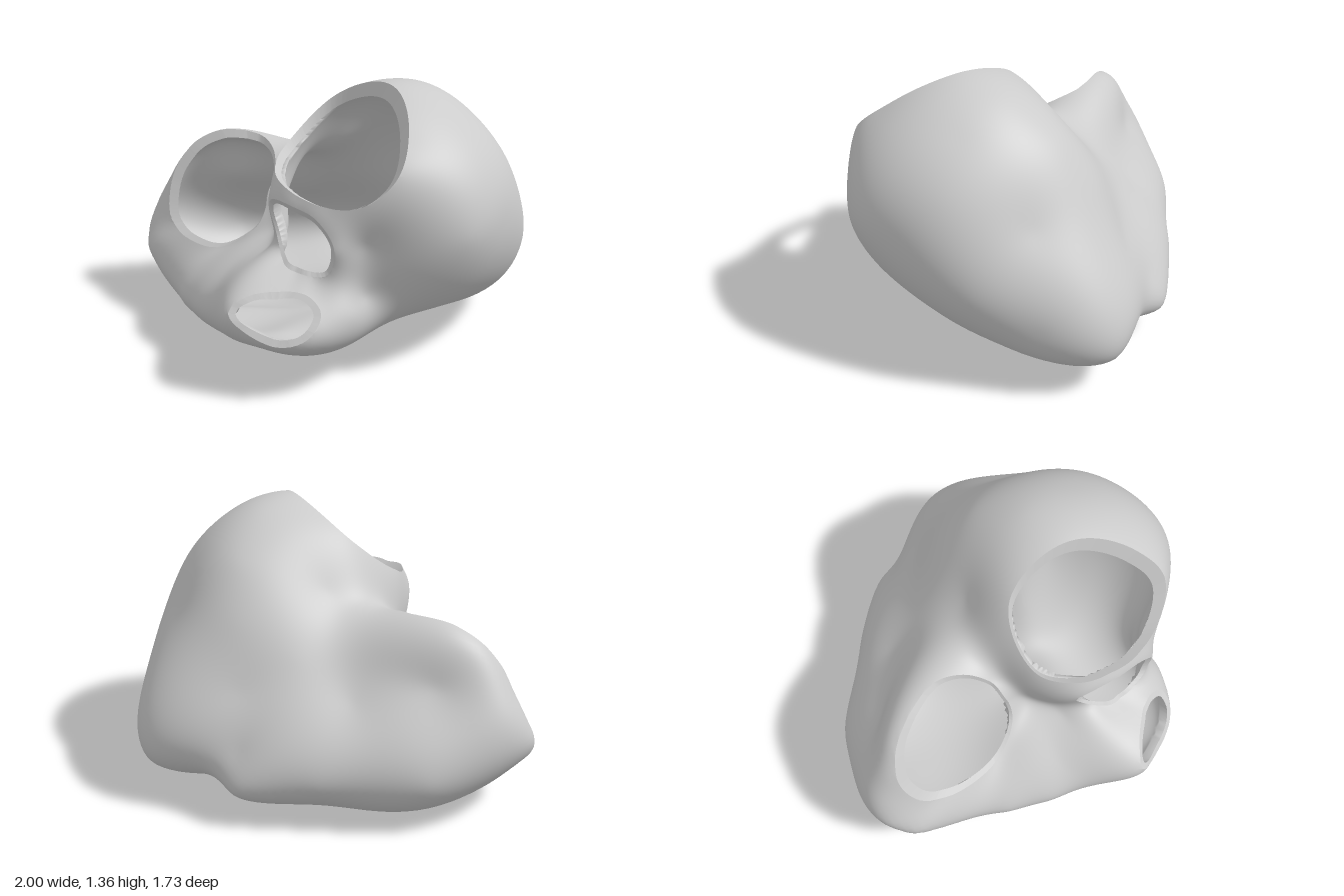
import * as THREE from 'three';
import { mergeVertices } from 'three/addons/utils/BufferGeometryUtils.js';

const V = (p) => new THREE.Vector3(...p);
const CENTRE = V([0.05, 0.47, 0.05]);
const WALL = 0.055;

// Openings: rim curves, and how far the cut face of the wall reaches inward and down
const HOLES = [
  { name: 'leftSocketRim', width: 0.04, depth: 0.05, rim: [[0.04, 1.22, -0.02], [0.24, 1.33, 0.05], [0.4, 1.345, 0.2], [0.49, 1.21, 0.45],
    [0.46, 1.04, 0.63], [0.3, 0.91, 0.65], [0.1, 0.89, 0.6], [-0.12, 0.93, 0.42], [-0.18, 0.97, 0.22], [-0.1, 1.08, 0.06]] },
  { name: 'rightSocketRim', width: 0.035, depth: 0.025, rim: [[-0.58, 0.935, -0.3], [-0.38, 0.935, -0.25], [-0.27, 0.89, -0.12], [-0.24, 0.77, 0.03],
    [-0.32, 0.57, 0.13], [-0.48, 0.45, 0.12], [-0.66, 0.43, 0.04], [-0.82, 0.49, -0.12], [-0.86, 0.64, -0.23], [-0.77, 0.83, -0.3]] },
  { name: 'noseRim', width: 0.025, depth: 0.015, rim: [[-0.17, 0.83, 0.42], [-0.02, 0.86, 0.56], [0.1, 0.83, 0.63], [0.19, 0.72, 0.68],
    [0.16, 0.58, 0.66], [0.03, 0.55, 0.61], [-0.08, 0.57, 0.52], [-0.14, 0.68, 0.42]] },
  { name: 'mouthRim', width: 0.035, depth: 0, rim: [[-0.28, 0.42, 0.82], [-0.2, 0.485, 0.77], [-0.06, 0.505, 0.73], [0.08, 0.495, 0.73],
    [0.15, 0.43, 0.77], [0.1, 0.33, 0.85], [-0.03, 0.29, 0.87], [-0.17, 0.33, 0.85]] },
];

// Anchor points the smooth body passes through
const CRANIUM = [[0.45, 1.31, -0.1], [0.45, 1.13, -0.37], [0.4, 0.9, -0.53], [0.35, 0.6, -0.66], [0.7, 1.22, 0.05], [0.9, 1, 0.05],
  [1, 0.55, -0.1], [0.8, 0.85, -0.33], [0.95, 0.4, -0.4], [0.93, 0.75, 0.3], [0.79, 0.75, 0.54], [0.6, 0.85, 0.62], [0.46, 0.58, 0.6],
  [0.32, 0.72, 0.62], [0.05, 1, -0.25], [0.1, 0.75, -0.53], [-0.2, 0.9, -0.12]];
const BACK = [[0.3, 0.17, -0.86], [0.3, 0.35, -0.79], [0.57, 0.22, -0.76], [0.78, 0.2, -0.73], [-0.1, 0.24, -0.81], [-0.6, 0.27, -0.69],
  [-0.57, 0.67, -0.47], [-0.2, 0.58, -0.58], [-0.9, 0.42, -0.47], [-0.995, 0.4, -0.26], [-0.945, 0.54, -0.32]];
const BASE = [[0.64, 0.085, -0.5], [0.72, 0.13, -0.28], [0.73, 0.21, -0.02], [0.72, 0.3, 0.2], [0.66, 0.41, 0.43], [0.87, 0.21, -0.3],
  [0.35, 0.2, 0.15], [0.45, 0.17, -0.1], [0.28, 0.12, -0.3], [0.42, 0.13, -0.6], [0.05, 0.075, -0.35], [0.1, 0.09, 0.05],
  [-0.4, 0, -0.36], [-0.1, 0.04, -0.02], [-0.1, 0.14, -0.75], [-0.35, 0.09, -0.65], [-0.65, 0.06, -0.3], [-0.9, 0.23, -0.25]];
const JAW = [[-0.08, 0.18, 0.6], [-0.2, 0.11, 0.4], [0.05, 0.14, 0.36], [-0.97, 0.33, -0.13], [-0.83, 0.26, 0.02], [-0.68, 0.24, 0.24],
  [-0.55, 0.26, 0.43], [-0.4, 0.3, 0.63], [-0.39, 0.44, 0.42], [-0.2, 0.56, 0.36], [0.32, 0.46, 0.61], [0.29, 0.4, 0.7], [0.17, 0.35, 0.81],
  [-0.38, 0.09, 0.18]];

// Gaussian elimination with pivoting
function solve(A, b) {
  const n = b.length;
  for (let i = 0; i < n; i++) {
    let p = i;
    for (let r = i + 1; r < n; r++) if (Math.abs(A[r][i]) > Math.abs(A[p][i])) p = r;
    [A[i], A[p]] = [A[p], A[i]];
    [b[i], b[p]] = [b[p], b[i]];
    for (let r = i + 1; r < n; r++) {
      const k = A[r][i] / A[i][i];
      for (let c = i; c < n; c++) A[r][c] -= k * A[i][c];
      b[r] -= k * b[i];
    }
  }
  for (let i = n - 1; i >= 0; i--) {
    for (let c = i + 1; c < n; c++) b[i] -= A[i][c] * b[c];
    b[i] /= A[i][i];
  }
  return b;
}

// Thin-plate spline of the radius over all directions from the centre
function radiusField(points) {
  const rays = points.map((p) => p.clone().sub(CENTRE));
  const dirs = rays.map((r) => r.clone().normalize());
  const n = dirs.length;
  const phi = (d2) => (d2 < 1e-12 ? 0 : 0.5 * d2 * Math.log(d2));
  const row = (u) => [...dirs.map((d) => phi(d.distanceToSquared(u))), 1, u.x, u.y, u.z];
  const A = dirs.map((u, i) => { const r = row(u); r[i] += 0.003; return r; });
  for (let k = 0; k < 4; k++) A.push([...A.slice(0, n).map((r) => r[n + k]), 0, 0, 0, 0]);
  const w = solve(A, [...rays.map((r) => r.length()), 0, 0, 0, 0]);
  return (u) => row(u).reduce((s, v, i) => s + v * w[i], 0);
}

// Negative inside the opening, zero on its rim, positive outside
function holeField(curve) {
  const pts = curve.getPoints(96).slice(0, 96).map((p) => p.sub(CENTRE));
  const axis = pts.reduce((s, p) => s.add(p), new THREE.Vector3()).normalize();
  const e1 = new THREE.Vector3(0, 1, 0).cross(axis).normalize();
  const e2 = axis.clone().cross(e1);
  const polar = (u) => {
    const d = u.dot(axis), x = u.dot(e1) / d, y = u.dot(e2) / d;
    return [Math.atan2(y, x), Math.hypot(x, y)];
  };
  const s = pts.map(polar).sort((a, b) => a[0] - b[0]);
  const first = s[0], last = s[s.length - 1];
  s.unshift([last[0] - 2 * Math.PI, last[1]]);
  s.push([first[0] + 2 * Math.PI, first[1]]);
  return (u) => {
    if (u.dot(axis) < 0.2) return 1;
    const [a, r] = polar(u);
    let i = 1;
    while (i < s.length - 1 && s[i][0] < a) i++;
    const t = (a - s[i - 1][0]) / (s[i][0] - s[i - 1][0] || 1);
    return Math.min(1, r / THREE.MathUtils.lerp(s[i - 1][1], s[i][1], t) - 1);
  };
}

function makeMesh(name, points, index, material) {
  const g = new THREE.BufferGeometry().setFromPoints(points);
  g.setIndex(index);
  g.computeVertexNormals();
  const m = new THREE.Mesh(g, material);
  m.name = name;
  return m;
}

export function createModel() {
  const group = new THREE.Group();
  group.name = 'hollowShell';
  const material = new THREE.MeshStandardMaterial({ color: 0xcccccc, side: THREE.DoubleSide });

  const curves = HOLES.map((h) => new THREE.CatmullRomCurve3(h.rim.map(V), true));
  const centres = HOLES.map((h) => h.rim.map(V).reduce((s, p) => s.add(p)).divideScalar(h.rim.length));
  const anchors = [...CRANIUM, ...BACK, ...BASE, ...JAW].map(V);
  curves.forEach((c) => anchors.push(...c.getSpacedPoints(12).slice(0, 12)));
  const radius = radiusField(anchors);
  const fields = curves.map(holeField);

  // Closed body: a fine sphere pushed out to the radius field
  let ball = new THREE.IcosahedronGeometry(1, 40);
  ball.deleteAttribute('normal');
  ball.deleteAttribute('uv');
  ball = mergeVertices(ball, 1e-5);
  const pos = ball.attributes.position;
  const outer = [], cut = [], owner = [];
  for (let i = 0; i < pos.count; i++) {
    const u = new THREE.Vector3().fromBufferAttribute(pos, i).normalize();
    const f = fields.map((h) => h(u));
    cut.push(Math.min(...f));
    owner.push(f.indexOf(cut[i]));
    const p = u.clone().multiplyScalar(radius(u)).add(CENTRE);
    outer.push(p);
    pos.setXYZ(i, p.x, p.y, p.z);
  }
  ball.computeVertexNormals();
  const inner = outer.map((p, i) => new THREE.Vector3().fromBufferAttribute(ball.attributes.normal, i).multiplyScalar(-WALL).add(p));

  // Trim every triangle along the rims
  const seen = new Map();
  const cutVertex = (a, b) => {
    const key = a < b ? `${a}_${b}` : `${b}_${a}`;
    if (!seen.has(key)) {
      const p = outer[a].clone().lerp(outer[b], cut[a] / (cut[a] - cut[b]));
      const h = owner[cut[a] < 0 ? a : b];
      const sink = CENTRE.clone().sub(centres[h]).setLength(HOLES[h].depth);
      const q = centres[h].clone().sub(p).setLength(HOLES[h].width).add(p).add(sink);
      seen.set(key, outer.length);
      outer.push(p);
      inner.push(q);
      owner.push(h);
    }
    return seen.get(key);
  };
  const outerIndex = [], innerIndex = [], rims = HOLES.map(() => []);
  const index = ball.index.array;
  for (let t = 0; t < index.length; t += 3) {
    const poly = [];
    let from = -1, to = -1;
    for (let k = 0; k < 3; k++) {
      const a = index[t + k], b = index[t + (k + 1) % 3];
      if (cut[a] >= 0) poly.push(a);
      if (cut[a] >= 0 !== cut[b] >= 0) {
        const v = cutVertex(a, b);
        poly.push(v);
        if (cut[a] >= 0) from = v; else to = v;
      }
    }
    for (let k = 1; k + 1 < poly.length; k++) {
      outerIndex.push(poly[0], poly[k], poly[k + 1]);
      innerIndex.push(poly[0], poly[k + 1], poly[k]);
    }
    if (from >= 0) rims[owner[from]].push([to, from]);
  }
  group.add(makeMesh('outerSurface', outer, outerIndex, material));
  group.add(makeMesh('innerSurface', inner, innerIndex, material));

  // Cut faces joining both surfaces round each opening
  rims.forEach((edges, h) => {
    const pts = [], idx = [], ids = new Map();
    const id = (v) => {
      if (!ids.has(v)) { ids.set(v, pts.length); pts.push(outer[v], inner[v]); }
      return ids.get(v);
    };
    for (const [q, p] of edges) {
      const a = id(q), b = id(p);
      idx.push(a, b, b + 1, a, b + 1, a + 1);
    }
    group.add(makeMesh(HOLES[h].name, pts, idx, material));
  });
  return group;
}
